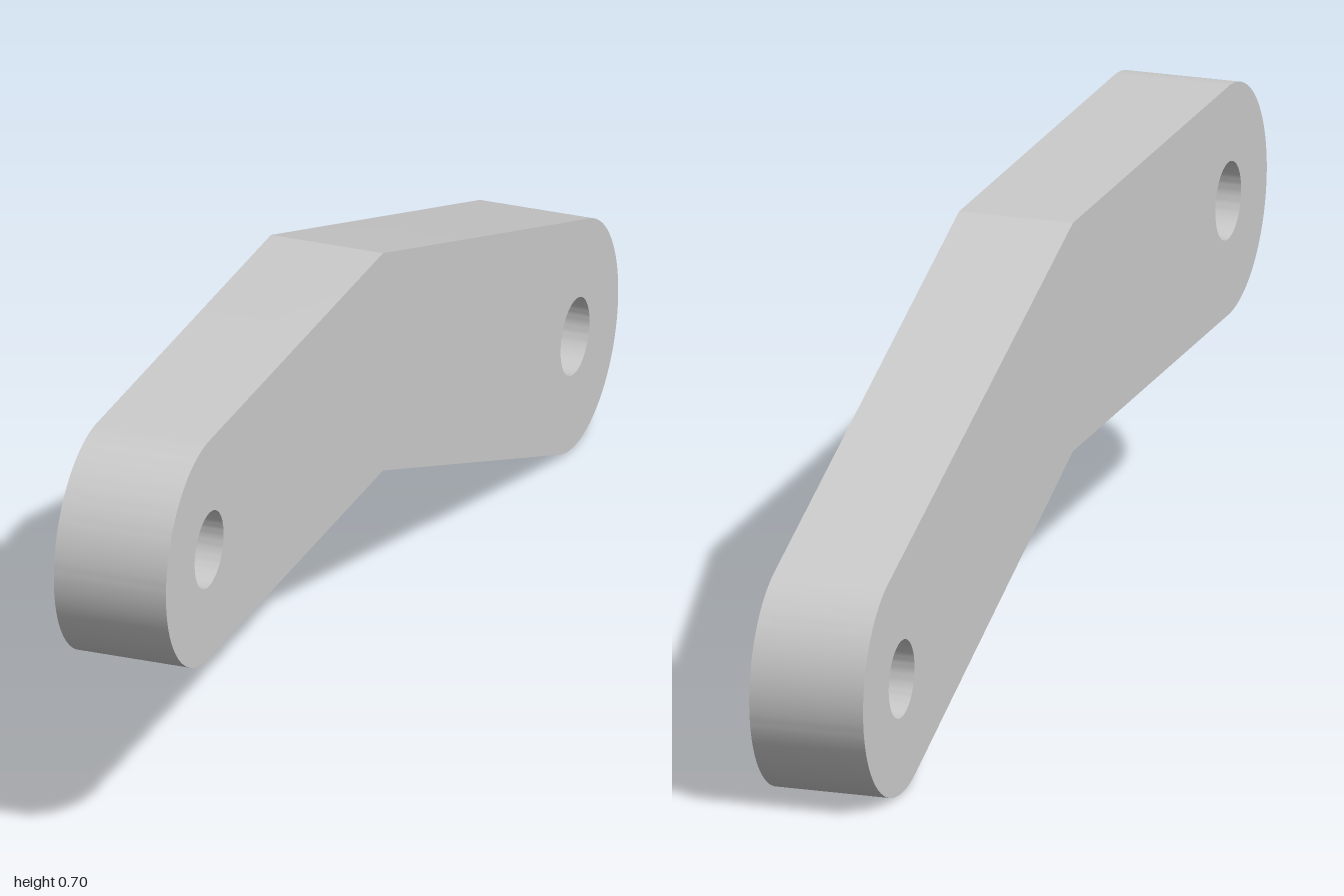
import * as THREE from 'three';
import { toCreasedNormals } from 'three/addons/utils/BufferGeometryUtils.js';

const RADIUS = 0.191, HOLE = 0.064, WIDTH = 0.192;
const FRONT = new THREE.Vector2(-0.809, 0.511); // pivot centres, drawn with -z to the right
const BACK = new THREE.Vector2(0.809, 0.191);
const BEND = -0.04;

// Slope of the tangent from a bend corner to the back eye (side: 1 top, -1 bottom)
function tangentSlope(side) {
  const dx = BACK.x - BEND;
  const dy = FRONT.y + side * RADIUS - BACK.y;
  return Math.atan2(dy, dx) - side * Math.asin(RADIUS / Math.hypot(dx, dy));
}

export function createModel() {
  const group = new THREE.Group();
  group.name = 'bentLinkArm';

  // Outline: rounded front end, bend, sloping back arm with rounded end, bend
  const outline = new THREE.Shape();
  outline.absarc(FRONT.x, FRONT.y, RADIUS, Math.PI / 2, Math.PI * 1.5, false);
  outline.lineTo(BEND, FRONT.y - RADIUS);
  outline.absarc(BACK.x, BACK.y, RADIUS, -Math.PI / 2 - tangentSlope(-1), Math.PI / 2 - tangentSlope(1), false);
  outline.lineTo(BEND, FRONT.y + RADIUS);
  outline.closePath();

  // Pivot holes
  for (const c of [FRONT, BACK]) {
    outline.holes.push(new THREE.Path().absarc(c.x, c.y, HOLE, 0, Math.PI * 2, true));
  }

  // Extrude across x, keeping the bend sharp and the ends smooth
  const solid = new THREE.ExtrudeGeometry(outline, { depth: WIDTH, bevelEnabled: false, curveSegments: 32 });
  solid.translate(0, 0, -WIDTH / 2);
  solid.rotateY(Math.PI / 2);
  const arm = new THREE.Mesh(toCreasedNormals(solid, 0.25), new THREE.MeshStandardMaterial({ color: 0xcccccc }));
  arm.name = 'linkArm';
  group.add(arm);
  return group;
}
